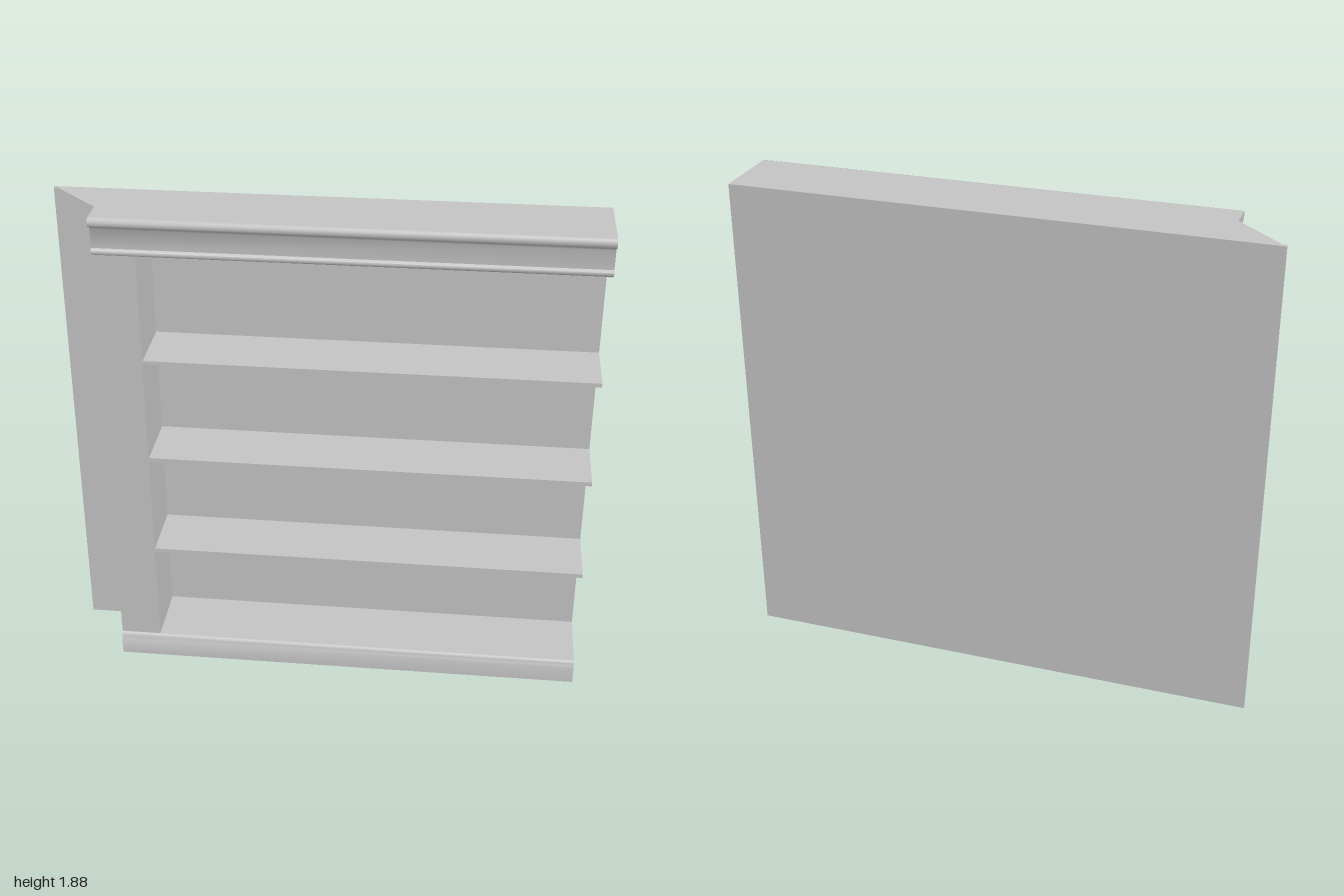
import * as THREE from 'three';
import { toCreasedNormals } from 'three/addons/utils/BufferGeometryUtils.js';

const LEFT = -0.81, RIGHT = 1, BACK = -0.15, FACE = 0.12, TOP = 1.88;

// Moulding profiles as [z, y], listed from top to bottom
const crownProfile = [
  [0.135, 1.88], [0.146, 1.877], [0.151, 1.868], [0.151, 1.857], [0.146, 1.848], [0.137, 1.845],
  [0.127, 1.842], [0.121, 1.832], [0.12, 1.76],
  [0.126, 1.759], [0.13, 1.753], [0.13, 1.743], [0.126, 1.737], [0.12, 1.735],
];
const skirtingProfile = [
  [0.12, 0.095], [0.126, 0.093], [0.13, 0.085], [0.131, 0.075], [0.135, 0.068], [0.135, 0],
];

export function createModel() {
  const group = new THREE.Group();
  const paint = new THREE.MeshStandardMaterial({ color: 0xc4c4c4, side: THREE.DoubleSide });
  paint.name = 'grey paint';

  const add = (name, geometry) => {
    const mesh = new THREE.Mesh(geometry, paint);
    mesh.name = name;
    group.add(mesh);
    return mesh;
  };

  // Box given by its extents on each axis
  const board = (name, [x0, x1], [y0, y1], [z0, z1]) =>
    add(name, new THREE.BoxGeometry(x1 - x0, y1 - y0, z1 - z0))
      .position.set((x0 + x1) / 2, (y0 + y1) / 2, (z0 + z1) / 2);

  // Thin strip following a profile along x
  const moulding = (name, profile) => {
    const g = new THREE.PlaneGeometry(1, 1, 1, profile.length - 1);
    const p = g.attributes.position;
    profile.forEach(([z, y], i) => {
      p.setXYZ(i * 2, LEFT, y, z);
      p.setXYZ(i * 2 + 1, RIGHT, y, z);
    });
    add(name, toCreasedNormals(g, 0.9));
  };

  // Full back panel
  board('backPanel', [-1, RIGHT], [0, TOP], [BACK, -0.135]);

  // Top sheet with a mitred left corner
  const outline = [[-1, BACK], [RIGHT, BACK], [RIGHT, 0.135], [LEFT, 0.135], [LEFT, 0.035]];
  const topShape = new THREE.Shape(outline.map(([x, z]) => new THREE.Vector2(x, -z)));
  const top = new THREE.ShapeGeometry(topShape).rotateX(-Math.PI / 2);
  add('topPanel', top.translate(0, TOP, 0));

  // Crown, skirting and the boards they trim
  moulding('crownMoulding', crownProfile);
  moulding('skirting', skirtingProfile);
  board('topShelf', [LEFT, RIGHT], [1.733, 1.738], [-0.135, FACE]);
  board('bottomShelf', [LEFT, RIGHT], [0.09, 0.095], [-0.135, FACE]);

  // Left post: front stile, inner side and outer end following the mouldings
  board('postFront', [LEFT, -0.655], [0, 1.735], [FACE - 0.015, FACE]);
  board('postInnerSide', [-0.67, -0.655], [0, 1.735], [-0.135, FACE - 0.015]);
  const endPoints = [[BACK, TOP], ...crownProfile, ...skirtingProfile, [BACK, 0]];
  const endShape = new THREE.Shape(endPoints.map(([z, y]) => new THREE.Vector2(z, y)));
  add('postOuterEnd', new THREE.ShapeGeometry(endShape).rotateY(-Math.PI / 2).translate(LEFT, 0, 0));

  // Three open shelves
  for (const y of [0.485, 0.895, 1.305]) {
    board('shelf', [-0.655, RIGHT], [y, y + 0.016], [-0.135, 0.112]);
  }
  return group;
}
